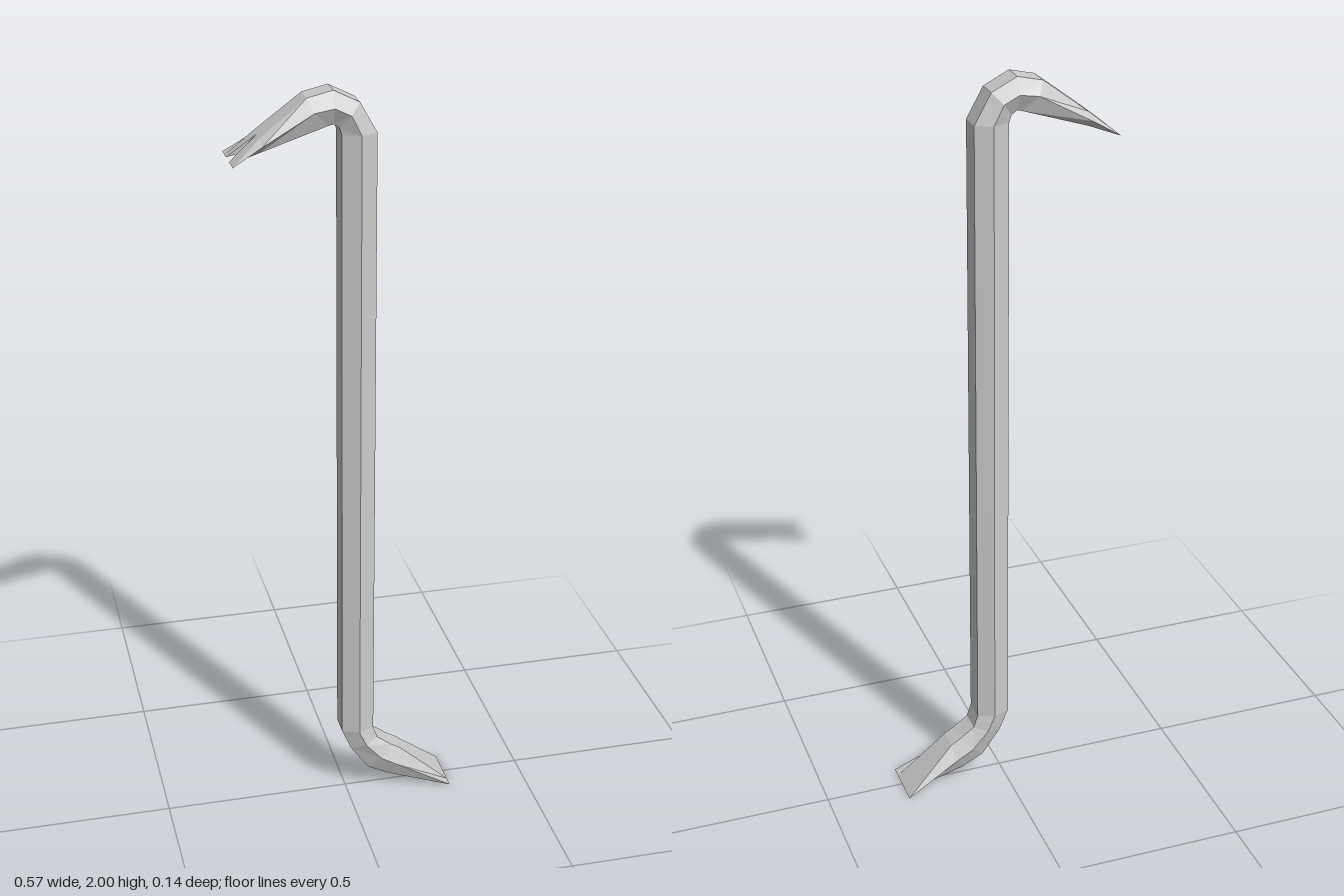
import * as THREE from 'three';

// Skin a list of equal-length closed loops of [x, y, z], flat shaded
function loft(name, loops, material) {
  const pos = [];
  for (let s = 0; s < loops.length - 1; s++) {
    const n = loops[s].length;
    for (let i = 0; i < n; i++) {
      const j = (i + 1) % n;
      const a = loops[s][i], b = loops[s][j], c = loops[s + 1][j], d = loops[s + 1][i];
      pos.push(...a, ...c, ...b, ...a, ...d, ...c);
    }
  }
  const geo = new THREE.BufferGeometry();
  geo.setAttribute('position', new THREE.Float32BufferAttribute(pos, 3));
  geo.computeVertexNormals();
  const mesh = new THREE.Mesh(geo, material);
  mesh.name = name;
  return mesh;
}

// Hexagonal section: right/upper flat, side ridge, left/lower flat
const hexLoop = ([ax, ay, mx, my, bx, by, flat = 0.03, ridge = 0.05]) => [
  [ax, ay, flat], [mx, my, ridge], [bx, by, flat],
  [bx, by, -flat], [mx, my, -ridge], [ax, ay, -flat],
];

// Half section of one claw prong, with its notch wall at z = gap
function prongLoop([ax, ay, mx, my, bx, by, flat, ridge, gap], side) {
  const loop = [
    [ax, ay, gap], [ax, ay, flat], [mx, my, ridge], [bx, by, flat], [bx, by, gap],
  ].map(([x, y, z]) => [x, y, z * side]);
  return side > 0 ? loop : loop.reverse();
}

export function createModel() {
  const group = new THREE.Group();
  group.name = 'pryBar';
  const steel = new THREE.MeshStandardMaterial({ color: 0xcccccc, flatShading: true });

  // Each row: upper flat xy, ridge xy, lower flat xy, half widths
  const chisel = [
    [0.287, 0, 0.287, 0, 0.287, 0, 0.04, 0.07],
    [0.15, 0.12, 0.14, 0.077, 0.118, 0.04],
    [0.125, 0.135, 0.093, 0.105, 0.06, 0.07],
    [0.085, 0.165, 0.05, 0.155, 0.01, 0.14],
    [0.073, 0.2, 0.03, 0.2, -0.015, 0.2],
  ];
  const hook = [
    [0.073, 1.89, 0.03, 1.89, -0.015, 1.89],
    [0.03, 1.967, 0.005, 1.94, -0.021, 1.908],
    [-0.035, 2, -0.035, 1.96, -0.035, 1.918],
    [-0.1, 1.985, -0.085, 1.952, -0.05, 1.914],
  ];
  // Forked tip: root, notch apex, cutting edge
  const claw = [
    [-0.1, 1.985, -0.085, 1.952, -0.05, 1.914, 0.03, 0.05, 0],
    [-0.215, 1.898, -0.215, 1.882, -0.215, 1.862, 0.036, 0.063, 0],
    [-0.287, 1.84, -0.287, 1.84, -0.287, 1.84, 0.04, 0.07, 0.02],
  ];

  group.add(loft('chiselEnd', chisel.map(hexLoop), steel));
  group.add(loft('shaft', [chisel[4], hook[0]].map(hexLoop), steel));
  group.add(loft('hookBend', hook.map(hexLoop), steel));
  for (const side of [1, -1]) {
    const name = side > 0 ? 'frontProng' : 'backProng';
    group.add(loft(name, claw.map((row) => prongLoop(row, side)), steel));
  }
  return group;
}
